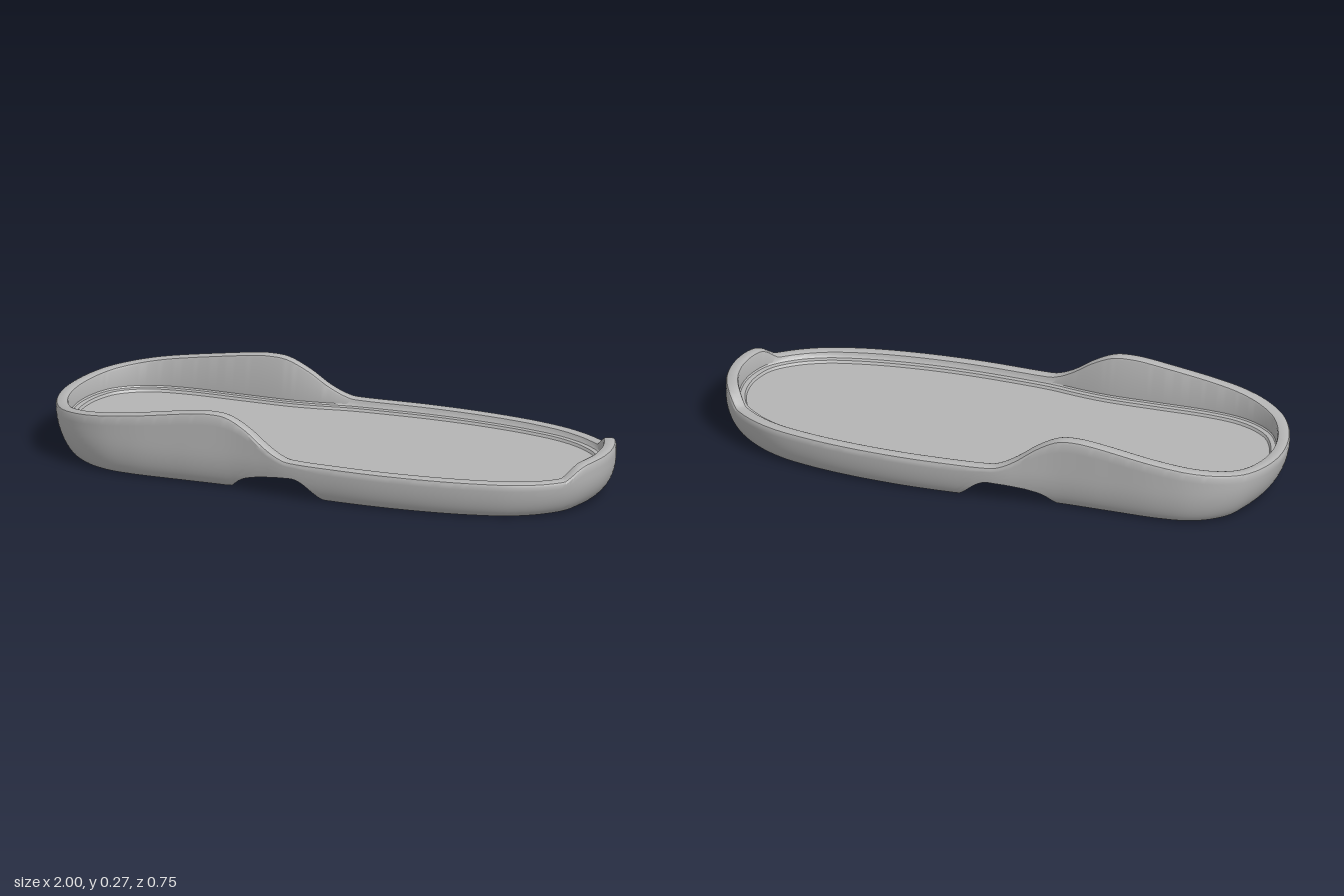
import * as THREE from 'three';
import { toCreasedNormals } from 'three/addons/utils/BufferGeometryUtils.js';

const N = 320; // points around the outline
const TREAD_DEPTH = 0.035;

// Half outline from heel tip to toe tip, as [x, half width]
const HALF = [[-1, 0], [-0.99, 0.09], [-0.96, 0.175], [-0.92, 0.235], [-0.85, 0.288], [-0.76, 0.323],
  [-0.64, 0.338], [-0.45, 0.338], [-0.27, 0.338], [-0.17, 0.348], [-0.07, 0.363], [0.05, 0.371],
  [0.25, 0.376], [0.45, 0.366], [0.62, 0.343], [0.76, 0.307], [0.87, 0.25], [0.95, 0.175], [0.988, 0.09], [1, 0]];

// Rim height and arch height along x
const RIM = [[-1, 0.173], [-0.8, 0.204], [-0.6, 0.234], [-0.42, 0.262], [-0.34, 0.268], [-0.28, 0.26],
  [-0.21, 0.223], [-0.14, 0.172], [-0.08, 0.142], [-0.02, 0.134], [0.2, 0.133], [0.6, 0.132],
  [0.88, 0.13], [0.92, 0.138], [0.945, 0.16], [0.968, 0.176], [1, 0.179]];
const ARCH = [[-0.28, 0], [-0.25, 0.029], [-0.22, 0.047], [-0.17, 0.06], [-0.1, 0.071], [-0.04, 0.076],
  [-0.015, 0.071], [0.01, 0.055], [0.07, 0]];

function lookup(table, x) {
  if (x <= table[0][0]) return table[0][1];
  for (let i = 1; i < table.length; i++) {
    const [x0, y0] = table[i - 1], [x1, y1] = table[i];
    if (x <= x1) return y0 + (y1 - y0) * (x - x0) / (x1 - x0);
  }
  return table[table.length - 1][1];
}

const smoothTable = (t) =>
  new THREE.SplineCurve(t.map(p => new THREE.Vector2(...p))).getPoints(300).map(p => [p.x, p.y]);

// Outline stations: position, outward normal, underside and rim heights
function makeStations() {
  const mirrored = HALF.slice(1, -1).reverse().map(([x, z]) => [x, -z]);
  const curve = new THREE.CatmullRomCurve3([...HALF, ...mirrored].map(([x, z]) => new THREE.Vector3(x, 0, z)), true);
  curve.arcLengthDivisions = 3000;
  const rim = smoothTable(RIM);
  return Array.from({ length: N }, (_, j) => {
    const p = curve.getPointAt(j / N), t = curve.getTangentAt(j / N);
    return { x: p.x, z: p.z, nx: -t.z, nz: t.x, low: lookup(ARCH, p.x), high: lookup(rim, p.x) };
  });
}

// Rounding of the outer wall: wide under heel and toe, tight along the sides
function wallInset(s, y) {
  const e = s.nx * s.nx;
  const reach = s.x < 0 ? 0.13 + 0.04 * e : 0.13;
  const amount = 0.045 + (s.x < 0 ? 0.075 : 0.055) * e;
  const k = Math.max(0, 1 - y / reach);
  return amount * (1 - Math.sqrt(1 - k * k));
}

const place = (s, inset, y) => [s.x - s.nx * inset, y, s.z - s.nz * inset];

function geometryFrom(positions, index) {
  const g = new THREE.BufferGeometry();
  g.setAttribute('position', new THREE.Float32BufferAttribute(positions.flat(), 3));
  g.setIndex(index);
  return toCreasedNormals(g, 0.55);
}

// Skin between successive closed rings
function loft(rings) {
  const index = [];
  for (let k = 0; k < rings.length - 1; k++) {
    for (let j = 0; j < N; j++) {
      const a = k * N + j, b = k * N + (j + 1) % N;
      index.push(a, b, b + N, a, b + N, a + N);
    }
  }
  return geometryFrom(rings.flat(), index);
}

// Strips across a ring, joining mirrored points from station j0 to j1
function crossStrips(ring, j0, j1, faceUp) {
  const index = [];
  for (let j = j0; j < j1; j++) {
    const a = j, b = j + 1, c = (N - j - 1) % N, d = (N - j) % N;
    if (faceUp) index.push(a, b, c, a, c, d);
    else index.push(a, c, b, a, d, c);
  }
  return geometryFrom(ring, index);
}

// Triangular lattice pockets lying inside the pad
function treadPockets(outline) {
  const edge = 0.155, h = edge * Math.sqrt(3) / 2, shrink = 0.8, holes = [];
  const inside = (x, z) => {
    let odd = false;
    outline.forEach((p, i) => {
      const q = outline[(i + 1) % outline.length];
      if ((p.y > z) !== (q.y > z) && x < (q.x - p.x) * (z - p.y) / (q.y - p.y) + p.x) odd = !odd;
    });
    return odd;
  };
  for (let col = -8; col < 8; col++) {
    for (let row = -7; row <= 7; row++) {
      const flip = (col + row) % 2 === 0 ? 1 : -1;
      const cx = (col + 0.5) * h - flip * h / 6, cz = row * edge / 2;
      const corner = (r) => [0, 1, 2].map(i => {
        const a = i * Math.PI * 2 / 3 + (flip > 0 ? 0 : Math.PI);
        return new THREE.Vector2(cx + r * Math.cos(a), cz + r * Math.sin(a));
      });
      const r = edge / Math.sqrt(3);
      if (corner(r * 1.2).every(p => inside(p.x, p.y))) holes.push(new THREE.Path(corner(r * shrink)));
    }
  }
  return holes;
}

export function createModel() {
  const group = new THREE.Group();
  const grey = new THREE.MeshStandardMaterial({ color: 0xb4b4b4 });
  grey.name = 'grey';
  const add = (name, geometry) => {
    const mesh = new THREE.Mesh(geometry, grey);
    mesh.name = name;
    group.add(mesh);
    return mesh;
  };
  const stations = makeStations();

  // Outer wall, rounded rim and inner wall down to the footbed
  const rings = [];
  const steps = 14;
  for (let k = 0; k <= steps; k++) {
    const t = Math.pow(k / steps, 1.8);
    rings.push(stations.map(s => {
      const y = s.low + t * (s.high - 0.012 - s.low);
      return place(s, wallInset(s, y), y);
    }));
  }
  for (const [inset, drop] of [[0.004, 0.004], [0.012, 0], [0.034, 0], [0.041, 0.003], [0.044, 0.01]])
    rings.push(stations.map(s => place(s, inset, s.high - drop)));
  for (const [inset, y] of [[0.046, 0.116], [0.05, 0.111], [0.066, 0.11], [0.071, 0.101], [0.076, 0.1]])
    rings.push(stations.map(s => place(s, inset, y)));
  add('soleWall', loft(rings));

  // Footbed
  add('footbed', crossStrips(rings[rings.length - 1], 0, N / 2, true));

  // Arch channel across the underside
  const bottom = rings[0];
  const half = stations.slice(0, N / 2 + 1);
  const archStart = half.filter(s => s.x <= -0.28).length - 1;
  const archEnd = half.findIndex(s => s.x >= 0.07);
  add('arch', crossStrips(bottom, archStart, archEnd, false));

  // Heel and forefoot pads with triangular tread pockets
  const pads = {
    heel: [...bottom.slice(N - archStart), ...bottom.slice(0, archStart + 1)],
    forefoot: bottom.slice(archEnd, N - archEnd + 1),
  };
  for (const [name, points] of Object.entries(pads)) {
    const outline = points.map(p => new THREE.Vector2(p[0], p[2]));
    const shape = new THREE.Shape(outline);
    const ceiling = new THREE.ShapeGeometry(shape).rotateX(Math.PI / 2);
    add(name + 'PocketFloor', ceiling).position.y = TREAD_DEPTH - 0.002;
    const pad = new THREE.Shape(outline);
    pad.holes = treadPockets(outline);
    const plate = new THREE.ExtrudeGeometry(pad, { depth: TREAD_DEPTH, bevelEnabled: false });
    add(name + 'Tread', plate.rotateX(Math.PI / 2)).position.y = TREAD_DEPTH;
  }
  return group;
}
